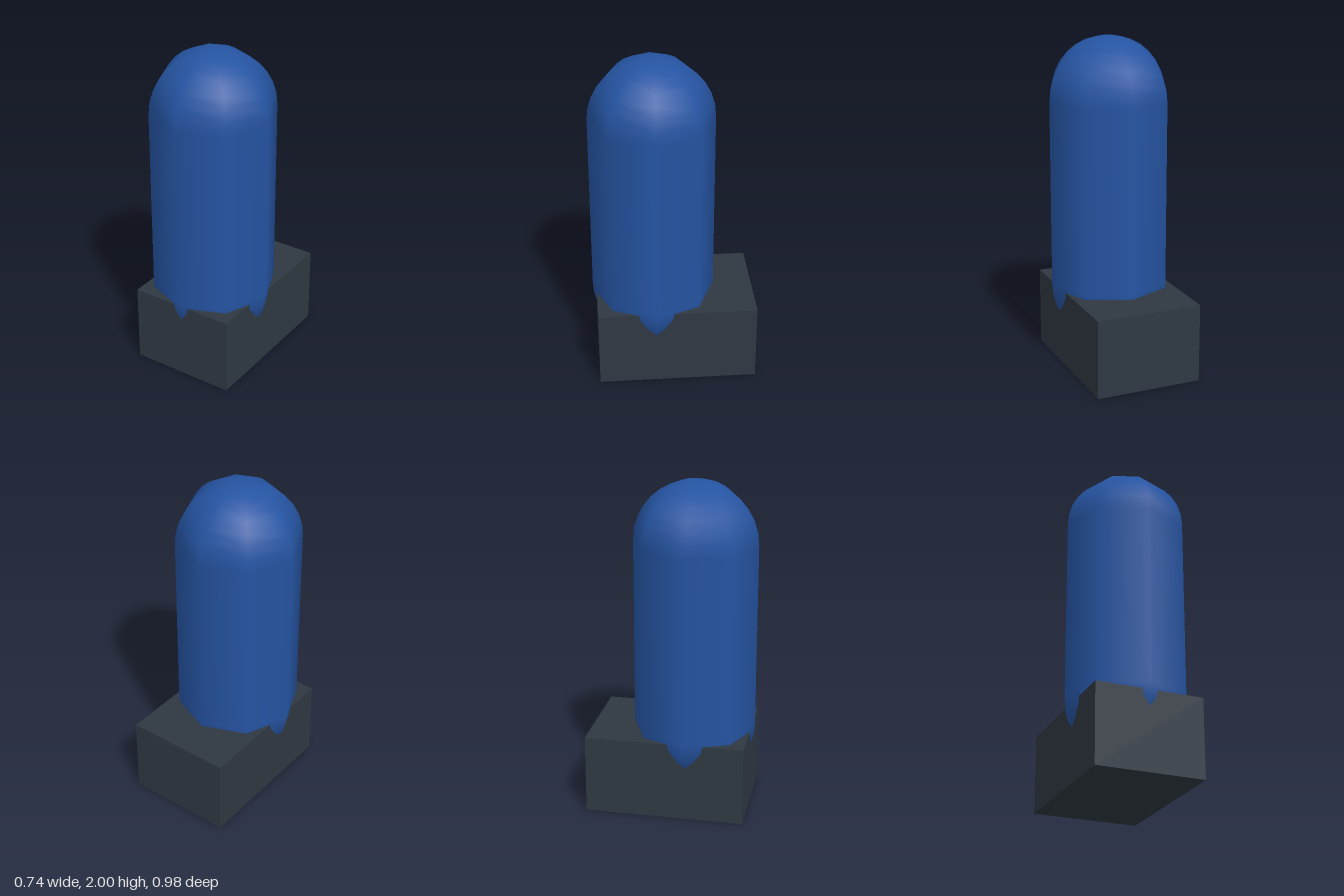
import * as THREE from 'three';

export function createModel() {
  const blue = new THREE.MeshStandardMaterial({ color: 0x2554a2 });
  blue.name = 'blue';
  const slate = new THREE.MeshStandardMaterial({ color: 0x2f3842 });
  slate.name = 'slate';

  const model = new THREE.Group();
  const add = (name, geometry, material, y, z) => {
    const mesh = new THREE.Mesh(geometry, material);
    mesh.name = name;
    mesh.position.set(0, y, z);
    model.add(mesh);
  };

  // Rectangular block that the body is sunk into
  add('base', new THREE.BoxGeometry(0.65, 0.48, 0.955), slate, 0.24, -0.0125);

  // Eight-sided, smoothly shaded capsule with its top at y = 2
  const radius = 0.372, length = 1.118;
  add('body', new THREE.CapsuleGeometry(radius, length, 8, 8), blue, 2 - radius - length / 2, 0.116);

  return model;
}
